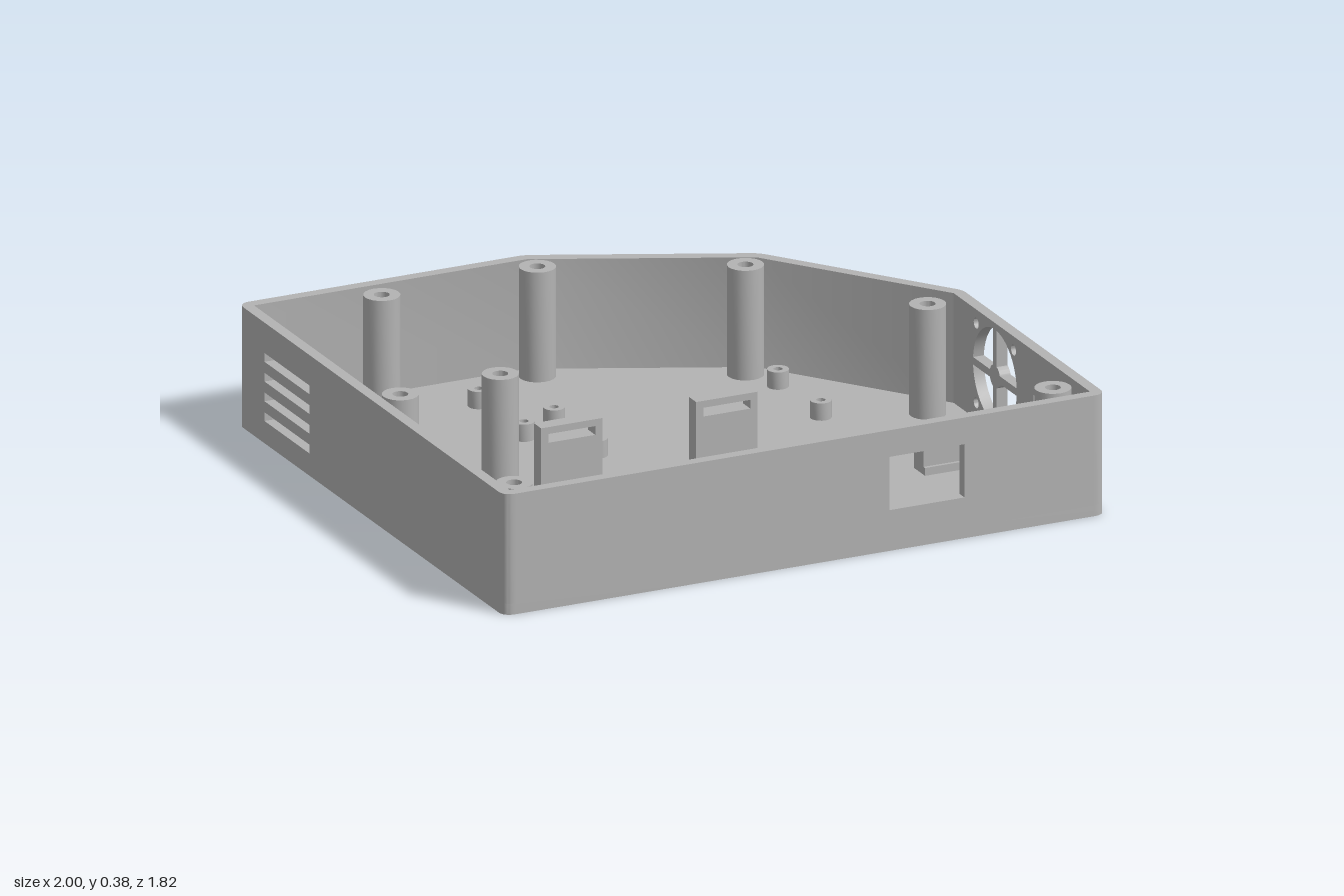
import * as THREE from 'three';
import { toCreasedNormals } from 'three/addons/utils/BufferGeometryUtils.js';

const H = 0.385, FLOOR = 0.035, T = 0.036, D = 0.912, R = 0.04;
const V = (x, y) => new THREE.Vector2(x, y);

export function createModel() {
  const group = new THREE.Group();
  const grey = new THREE.MeshStandardMaterial({ color: 0xb3b3b3 });
  grey.name = 'grey plastic';

  function add(name, geometry) {
    const mesh = new THREE.Mesh(toCreasedNormals(geometry, 0.6), grey);
    mesh.name = name;
    group.add(mesh);
    return mesh;
  }
  const extrude = (shape, depth) =>
    new THREE.ExtrudeGeometry(shape, { depth, bevelEnabled: false, curveSegments: 10 });
  // plan shapes are drawn in (x, -z) and raised from y0 to y1
  const prism = (name, shape, y0, y1) =>
    add(name, extrude(shape, y1 - y0).rotateX(-Math.PI / 2).translate(0, y0, 0));
  const rect = (x0, y0, x1, y1) =>
    new THREE.Shape([V(x0, y0), V(x1, y0), V(x1, y1), V(x0, y1)]);
  const circle = (x, y, r) => new THREE.Shape().absarc(x, y, r, 0, Math.PI * 2, false);
  function withHoles(shape, holes) {
    shape.holes.push(...holes);
    return shape;
  }

  // outer plan as [x, z, corner rounding]
  const corners = [
    [-1, -D, R], [-0.05, -D, 0.025], [0.59, -0.62, 0.025],
    [1, -0.07, 0.025], [1, D, R], [-1, D, R],
  ];
  function roundCorner(shape, prev, cur, next) {
    const c = V(cur[0], -cur[1]);
    const toward = (p) => V(p[0], -p[1]).sub(c).normalize().multiplyScalar(cur[2]).add(c);
    const a = toward(prev), b = toward(next);
    if (shape.curves.length || shape.started) shape.lineTo(a.x, a.y);
    else shape.moveTo(a.x, a.y);
    shape.quadraticCurveTo(c.x, c.y, b.x, b.y);
  }

  // floor with screw holes
  const posts = [
    [-0.58, -0.793], [-0.056, -0.808], [0.511, -0.551], [-0.9, -0.005],
    [-0.555, -0.032], [0.855, -0.012], [-0.923, 0.823], [0.88, 0.795],
  ];
  const plan = new THREE.Shape();
  corners.forEach((c, i) => roundCorner(plan, corners[(i + 5) % 6], c, corners[(i + 1) % 6]));
  plan.closePath();
  prism('floor', withHoles(plan, posts.map(([x, z]) => circle(x, -z, 0.036))), 0, FLOOR);

  // wall strip that follows plan points, offset inward by the wall thickness
  function strip(name, pts) {
    const normals = pts.slice(1).map((p, i) =>
      V(-(p[1] - pts[i][1]), p[0] - pts[i][0]).normalize());
    const inner = pts.map((p, i) => {
      const a = normals[Math.max(i - 1, 0)], b = normals[Math.min(i, normals.length - 1)];
      return a.clone().add(b).multiplyScalar(T / (1 + a.dot(b))).add(V(p[0], p[1]));
    });
    const s = new THREE.Shape();
    s.moveTo(pts[0][0], -pts[0][1]);
    s.started = true;
    for (let i = 1; i < pts.length - 1; i++) roundCorner(s, pts[i - 1], pts[i], pts[i + 1]);
    const end = pts[pts.length - 1];
    s.lineTo(end[0], -end[1]);
    inner.reverse().forEach((p) => s.lineTo(p.x, -p.y));
    s.closePath();
    prism(name, s, FLOOR, H);
  }
  const E = R + 0.002;
  strip('backWall', [[-1, -D + E], ...corners.slice(0, 4), [1, -0.07 + E]]);
  strip('frontLeftCorner', [[1, D - E], corners[4], [1 - E, D]]);
  strip('frontRightCorner', [[-1 + E, D], corners[5], [-1, D - E]]);

  // front wall with a rectangular window
  const front = withHoles(rect(-1 + E, FLOOR, 1 - E, H), [rect(0.28, 0.13, 0.53, 0.3)]);
  add('frontWall', extrude(front, T).translate(0, 0, D - T));

  // side walls are drawn in (-z, y)
  const sideWall = (name, shape, x) =>
    add(name, extrude(shape, T).rotateY(Math.PI / 2).translate(x, 0, 0));

  // fan grille: four quadrant openings around a hub, and four screw holes
  const fz = -0.224, fy = 0.214, fanHoles = [];
  for (let q = 0; q < 4; q++) {
    const pts = [];
    const arc = (r, reverse) => {
      const gap = Math.asin(0.012 / r), n = 12;
      for (let i = 0; i <= n; i++) {
        const k = reverse ? n - i : i;
        const a = q * Math.PI / 2 + gap + (Math.PI / 2 - 2 * gap) * k / n;
        pts.push(V(fz + r * Math.cos(a), fy + r * Math.sin(a)));
      }
    };
    arc(0.15, false);
    arc(0.036, true);
    fanHoles.push(new THREE.Shape(pts));
    const sx = q % 2 ? 1 : -1, sy = q < 2 ? 1 : -1;
    fanHoles.push(circle(fz + sx * 0.128, fy + sy * 0.127, 0.017));
  }
  // stepped connector opening
  const port = new THREE.Shape([
    V(-0.683, 0.044), V(-0.512, 0.044), V(-0.512, 0.117), V(-0.488, 0.117),
    V(-0.488, 0.244), V(-0.702, 0.244), V(-0.702, 0.117), V(-0.683, 0.117),
  ]);
  sideWall('leftWall', withHoles(rect(-D + E, FLOOR, 0.07 - E, H), [...fanHoles, port]), 1 - T);

  // right wall with four vent slots
  const vents = [0.085, 0.148, 0.211, 0.274].map((y) => rect(0.42, y - 0.014, 0.73, y + 0.014));
  sideWall('rightWall', withHoles(rect(-D + E, FLOOR, D - E, H), vents), -1);

  // tall screw posts
  posts.forEach(([x, z]) =>
    prism('screwPost', withHoles(circle(x, -z, 0.056), [circle(x, -z, 0.024)]), FLOOR, H));

  // short board standoffs
  for (const [xs, zs] of [[[-0.89, -0.324], [-0.657, -0.347]], [[-0.19, 0.554], [-0.417, -0.123]]])
    for (const x of xs) for (const z of zs)
      prism('standoff', withHoles(circle(x, -z, 0.033), [circle(x, -z, 0.014)]), FLOOR, 0.09);

  // upright tabs with a strap slot near the top
  for (const x of [-0.466, 0.049])
    for (const [z, depth] of [[0.225, 0.05], [0.815, 0.061]]) {
      const tab = withHoles(rect(x - 0.102, FLOOR, x + 0.102, 0.315),
        [rect(x - 0.078, 0.265, x + 0.078, 0.293)]);
      add('strapTab', extrude(tab, depth).translate(0, 0, z));
    }

  // connector rails with a pilot hole and a low inner ledge
  for (const [z0, z1, l0, l1, hz] of [
    [0.39, 0.455, 0.455, 0.466, 0.423], [0.72, 0.783, 0.706, 0.72, 0.752]]) {
    prism('connectorRail',
      withHoles(rect(0.615, -z1, 0.945, -z0), [circle(0.69, -hz, 0.012)]), FLOOR, 0.125);
    prism('railLedge', rect(0.615, -l1, 0.945, -l0), FLOOR, 0.06);
  }
  return group;
}
